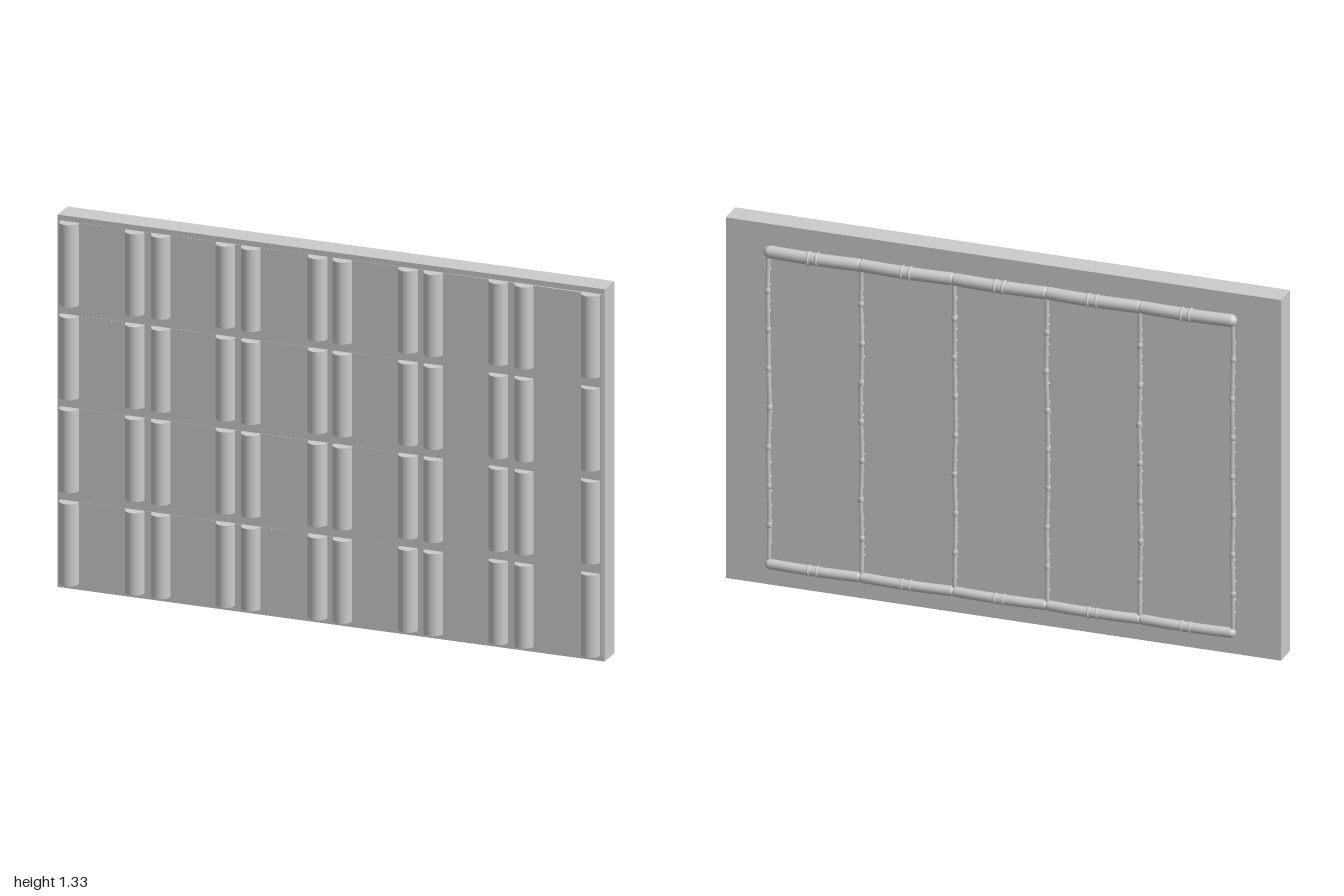
import * as THREE from 'three';

const material = new THREE.MeshStandardMaterial({ color: 0xcccccc });

function add(parent, geometry, name, x = 0, y = 0, z = 0) {
  const mesh = new THREE.Mesh(geometry, material);
  mesh.name = name;
  mesh.position.set(x, y, z);
  parent.add(mesh);
  return mesh;
}

// small seeded generator for the irregular canes
let seed = 7;
const rand = () => (seed = (seed * 16807) % 2147483647) / 2147483647;

// one bowed rail segment, narrower at its joints, with a ringed middle
function railSegment(parent, x, y, r, length) {
  const group = new THREE.Group();
  group.name = 'railSegment';
  group.position.set(x, y, -0.065);
  parent.add(group);
  const h = length / 2;
  const path = new THREE.QuadraticBezierCurve3(
    new THREE.Vector3(-h + 0.01, 0, 0),
    new THREE.Vector3(0, 0, -0.012),
    new THREE.Vector3(h - 0.01, 0, 0)
  );
  add(group, new THREE.TubeGeometry(path, 16, r * 0.85, 16), 'railTube');
  for (const s of [-1, 1]) {
    add(group, new THREE.SphereGeometry(r * 0.85, 16, 12), 'railEnd', s * (h - 0.01), 0, 0);
    const ring = add(group, new THREE.TorusGeometry(r * 0.8, r * 0.2, 8, 20), 'railRing', s * 0.015, 0, -0.006);
    ring.rotation.y = Math.PI / 2;
  }
}

// one slightly crooked upright with knots and a line of beads facing the board
function upright(parent, x) {
  const group = new THREE.Group();
  group.name = 'upright';
  group.position.x = x;
  parent.add(group);
  const points = [];
  for (let i = 0; i <= 8; i++) {
    const wobble = i % 8 ? 0.006 : 0;
    points.push(new THREE.Vector3((rand() - 0.5) * wobble, 0.09 + i * 1.155 / 8, -0.063 + (rand() - 0.5) * wobble));
  }
  const path = new THREE.CatmullRomCurve3(points);
  add(group, new THREE.TubeGeometry(path, 48, 0.008, 8), 'cane');
  for (let i = 1; i < 8; i++) {
    const p = points[i];
    const knot = add(group, new THREE.SphereGeometry(0.0105, 10, 8), 'knot', p.x, p.y, p.z);
    knot.scale.y = 1.5;
  }
  for (let i = 0; i < 20; i++) {
    const p = path.getPoint(0.04 + (i + rand() * 0.6) * 0.046);
    add(group, new THREE.SphereGeometry(0.006, 8, 6), 'bead', p.x, p.y, -0.047);
    const stem = add(group, new THREE.CylinderGeometry(0.003, 0.003, 0.014, 6), 'beadStem', p.x, p.y, -0.053);
    stem.rotation.x = Math.PI / 2;
  }
}

export function createModel() {
  const model = new THREE.Group();
  model.name = 'panelledBoard';

  // main slab
  add(model, new THREE.BoxGeometry(2, 1.334, 0.09), 'board', 0, 0.667, 0.009);

  // thin facing sheet, turned slightly so it stands proud at the +x end
  const sheet = add(model, new THREE.BoxGeometry(1.99, 1.295, 0.006), 'facingSheet', 0, 0.667, 0.05);
  sheet.rotation.y = -0.0092;

  // four rows, each a thin panel and six pairs of round battens
  const rowY = [0.168, 0.502, 0.835, 1.168];
  const columns = [-0.955, -0.715, -0.62, -0.383, -0.29, -0.046, 0.045, 0.285, 0.377, 0.616, 0.71, 0.953];
  const batten = new THREE.CylinderGeometry(0.034, 0.034, 0.294, 24);
  const panel = new THREE.BoxGeometry(1.97, 0.294, 0.006);
  for (const y of rowY) {
    add(model, panel, 'rowPanel', 0, y, 0.0526);
    for (const x of columns) add(model, batten, 'batten', x, y, 0.06);
  }

  // frame on the back: jointed top and bottom rails with six uprights
  const frame = new THREE.Group();
  frame.name = 'backFrame';
  model.add(frame);
  const step = 0.336;
  for (let i = 0; i < 5; i++) {
    const x = (i - 2) * step;
    railSegment(frame, x, 1.245, 0.026, step);
    railSegment(frame, x, 0.09, 0.021, step);
  }
  for (let i = 0; i < 6; i++) upright(frame, (i - 2.5) * step * 0.995);

  return model;
}
